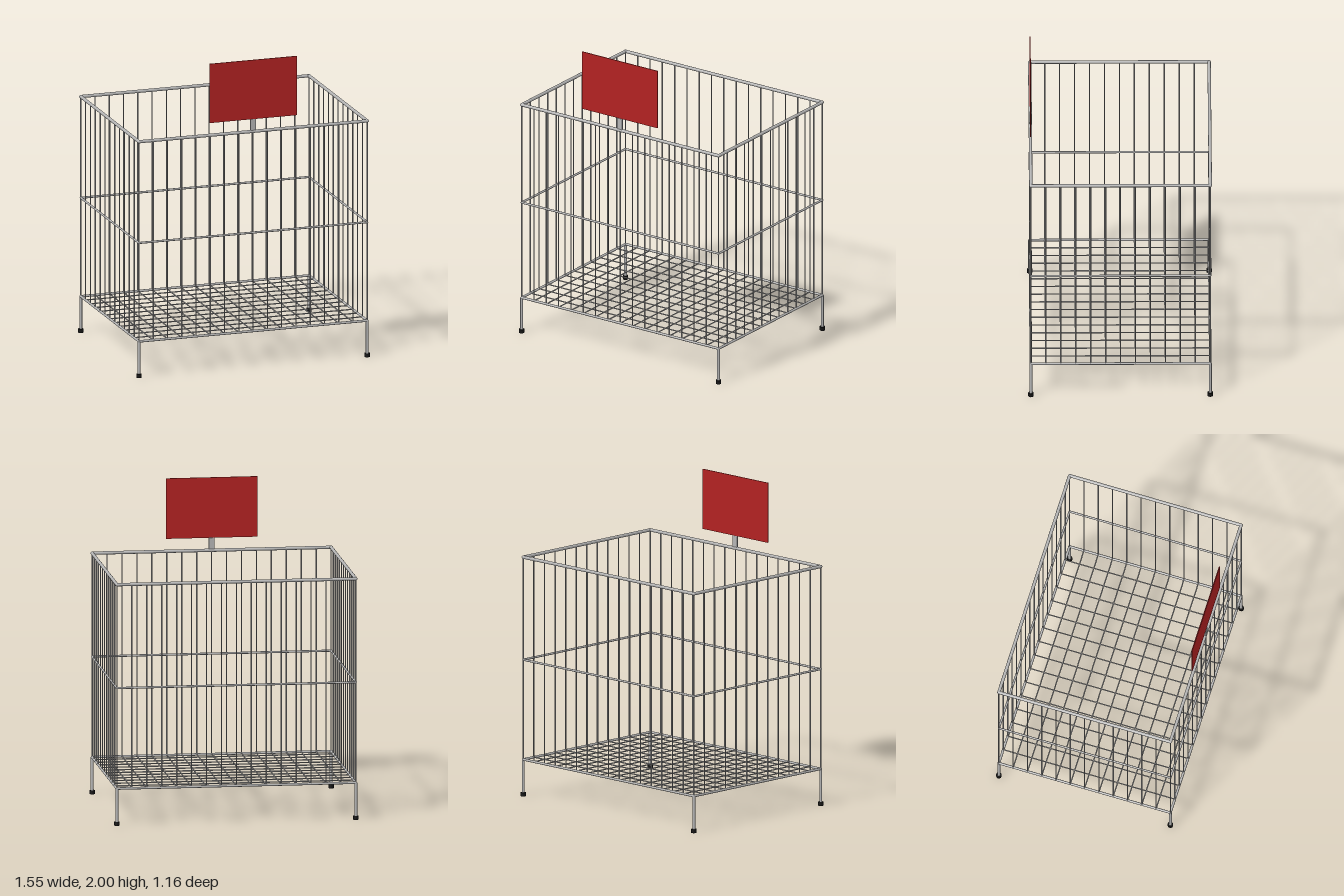
import * as THREE from 'three';

export function createModel() {
  const root = new THREE.Group();
  const metal = new THREE.MeshStandardMaterial({ color: 0xb4b4b4 });
  metal.name = 'grey metal';
  const rubber = new THREE.MeshStandardMaterial({ color: 0x141414 });
  rubber.name = 'black rubber';
  const red = new THREE.MeshStandardMaterial({ color: 0xb22222 });
  red.name = 'sign red';

  const X = 0.757, Z = 0.563;
  const FLOOR = 0.235, MIDDLE = 0.876, TOP = 1.535;
  const NX = 16, NZ = 12;
  const WIRE = 0.004;

  const group = (name) => {
    const g = new THREE.Group();
    g.name = name;
    root.add(g);
    return g;
  };

  // Round bar between two points
  const up = new THREE.Vector3(0, 1, 0);
  function bar(parent, name, a, b, radius, sides = 12, material = metal) {
    const from = new THREE.Vector3(...a), to = new THREE.Vector3(...b);
    const dir = to.clone().sub(from);
    const mesh = new THREE.Mesh(new THREE.CylinderGeometry(radius, radius, dir.length(), sides), material);
    mesh.position.copy(from).add(to).multiplyScalar(0.5);
    mesh.quaternion.setFromUnitVectors(up, dir.normalize());
    mesh.name = name;
    parent.add(mesh);
  }

  // Rectangular frames with rounded corner joints
  for (const [name, y, r] of [['bottomFrame', FLOOR, 0.008], ['middleFrame', MIDDLE, 0.007], ['topFrame', TOP, 0.0105]]) {
    const frame = group(name);
    for (const s of [-1, 1]) {
      bar(frame, 'longRail', [-X, y, s * Z], [X, y, s * Z], r);
      bar(frame, 'sideRail', [s * X, y, -Z], [s * X, y, Z], r);
      for (const t of [-1, 1]) {
        const joint = new THREE.Mesh(new THREE.SphereGeometry(r, 12, 8), metal);
        joint.position.set(s * X, y, t * Z);
        joint.name = 'cornerJoint';
        frame.add(joint);
      }
    }
  }

  // Wall wires and the floor grid
  const walls = group('wallWires'), floor = group('floorGrid');
  for (let i = 0; i <= NX; i++) {
    const x = -X + (2 * X * i) / NX;
    for (const z of [-Z, Z]) bar(walls, 'wallWire', [x, FLOOR, z], [x, TOP, z], WIRE, 8);
    if (i > 0 && i < NX) bar(floor, 'floorWire', [x, FLOOR, -Z], [x, FLOOR, Z], WIRE, 8);
  }
  for (let i = 1; i < NZ; i++) {
    const z = -Z + (2 * Z * i) / NZ;
    for (const x of [-X, X]) bar(walls, 'wallWire', [x, FLOOR, z], [x, TOP, z], WIRE, 8);
    bar(floor, 'floorWire', [-X, FLOOR, z], [X, FLOOR, z], WIRE, 8);
  }

  // Legs with rubber feet
  const legs = group('legs');
  for (const x of [-X, X]) for (const z of [-Z, Z]) {
    bar(legs, 'leg', [x, 0.015, z], [x, FLOOR, z], 0.0095);
    bar(legs, 'foot', [x, 0, z], [x, 0.024, z], 0.017, 16, rubber);
  }

  // Sign on a flat post above the front rail
  const sign = group('sign');
  const post = new THREE.Mesh(new THREE.BoxGeometry(0.037, 0.085, 0.012), metal);
  post.position.set(0, 1.573, Z);
  post.name = 'signPost';
  const panel = new THREE.Mesh(new THREE.BoxGeometry(0.58, 0.385, 0.006), red);
  panel.position.set(0, 1.8075, Z);
  panel.name = 'signPanel';
  sign.add(post, panel);

  return root;
}
